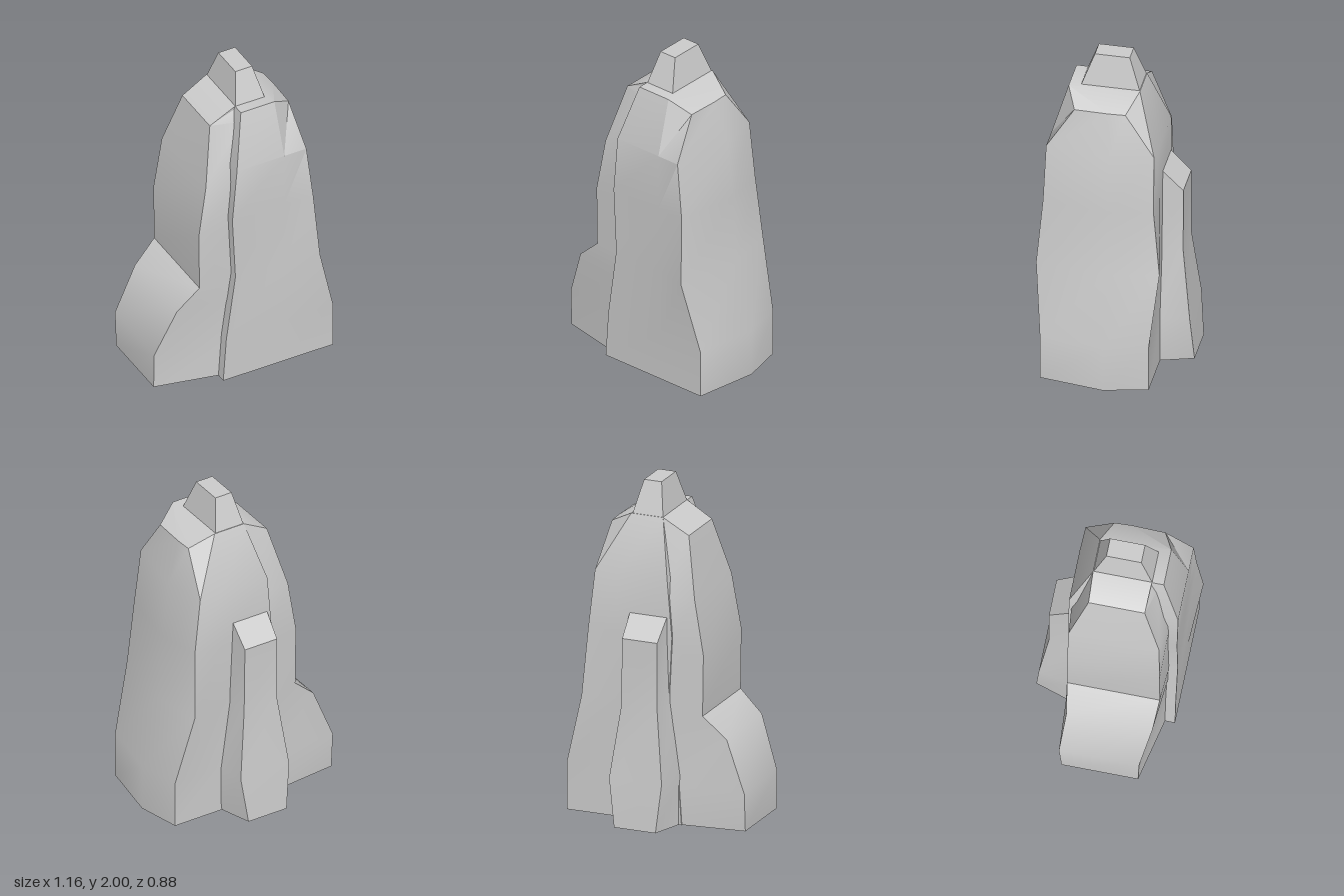
import * as THREE from 'three';
import { toCreasedNormals } from 'three/addons/utils/BufferGeometryUtils.js';

const material = new THREE.MeshStandardMaterial({ color: 0xcccccc });

// Skins a stack of rings. Each ring lists [x, y, z] counter-clockwise from above.
function loft(name, rings) {
  const n = rings[0].length;
  const index = [];
  for (let l = 0; l < rings.length - 1; l++) {
    for (let i = 0; i < n; i++) {
      const j = (i + 1) % n;
      const a = l * n + i, b = l * n + j;
      index.push(a, b, b + n, a, b + n, a + n);
    }
  }
  const top = (rings.length - 1) * n;
  for (let i = 1; i < n - 1; i++) {
    index.push(0, i + 1, i);
    index.push(top, top + i, top + i + 1);
  }
  const geometry = new THREE.BufferGeometry();
  geometry.setAttribute('position', new THREE.Float32BufferAttribute(rings.flat(2), 3));
  geometry.setIndex(index);
  const mesh = new THREE.Mesh(toCreasedNormals(geometry, 0.55), material);
  mesh.name = name;
  return mesh;
}

// A four-cornered ring with separate front and back widths.
const quad = (y, fx0, fx1, fz, bx0, bx1, bz) =>
  [[fx0, y, fz], [fx1, y, fz], [bx1, y, bz], [bx0, y, bz]];

export function createModel() {
  const group = new THREE.Group();
  group.name = 'rockSpire';

  // Main rock: height, left edge x, right edge x, ridge x, front right z, back right z
  const levels = [
    [0, -0.2, 0.52, 0.58, 0.39, -0.25],
    [0.29, -0.18, 0.52, 0.58, 0.39, -0.25],
    [0.72, -0.12, 0.41, 0.47, 0.435, -0.29],
    [1.13, -0.14, 0.385, 0.44, 0.4, -0.25],
    [1.48, -0.11, 0.345, 0.4, 0.39, -0.245],
  ];
  const mainRings = levels.map(([y, left, right, ridge, front, back]) => [
    [0.2, y, 0.39], [right, y, front], [ridge, y, 0.01], [right, y, back],
    [0.2, y, -0.25], [left, y, -0.25], [left, y, 0.39],
  ]);
  // Flat summit with its right side sloping down
  mainRings.push([
    [0.19, 1.81, 0.29], [0.315, 1.73, 0.23], [0.32, 1.73, 0.03], [0.315, 1.73, -0.07],
    [0.17, 1.81, -0.125], [-0.03, 1.81, -0.125], [-0.03, 1.81, 0.29],
  ]);
  group.add(loft('mainRock', mainRings));

  // Stepped side rock: height, outer x, outer front z, outer back z, inner x, inner front z, inner back z
  const side = [
    [0, -0.58, 0.25, -0.2, -0.16, 0.34, -0.245],
    [0.23, -0.58, 0.255, -0.215, -0.14, 0.34, -0.245],
    [0.54, -0.46, 0.31, -0.195, -0.1, 0.34, -0.245],
    [0.67, -0.32, 0.325, -0.22, -0.08, 0.34, -0.245],
    [1.04, -0.325, 0.325, -0.22, -0.09, 0.34, -0.245],
    [1.37, -0.27, 0.31, -0.22, -0.07, 0.34, -0.24],
    [1.72, -0.19, 0.21, -0.12, -0.02, 0.26, -0.15],
    [1.81, -0.03, 0.22, -0.125, 0.02, 0.22, -0.125],
  ];
  group.add(loft('sideRock', side.map(([y, x, front, back, inX, inFront, inBack]) => [
    [x, y, front], [inX, y, inFront], [inX, y, inBack], [x, y, back],
  ])));

  // Buttress on the back with a sloping cap
  const buttress = [
    quad(0, -0.19, 0.21, -0.22, -0.12, 0.14, -0.44),
    quad(0.29, -0.19, 0.21, -0.22, -0.15, 0.18, -0.42),
    quad(0.72, -0.13, 0.15, -0.22, -0.1, 0.125, -0.37),
    quad(1.13, -0.11, 0.125, -0.22, -0.1, 0.12, -0.37),
  ];
  for (const i of [0, 1]) buttress[3][i][1] = 1.28;
  group.add(loft('backButtress', buttress));

  // Tapered peak on the summit
  group.add(loft('peak', [
    quad(1.8, -0.03, 0.165, 0.225, -0.03, 0.165, -0.125),
    quad(2, 0.01, 0.12, 0.15, 0.01, 0.12, -0.055),
  ]));
  return group;
}
